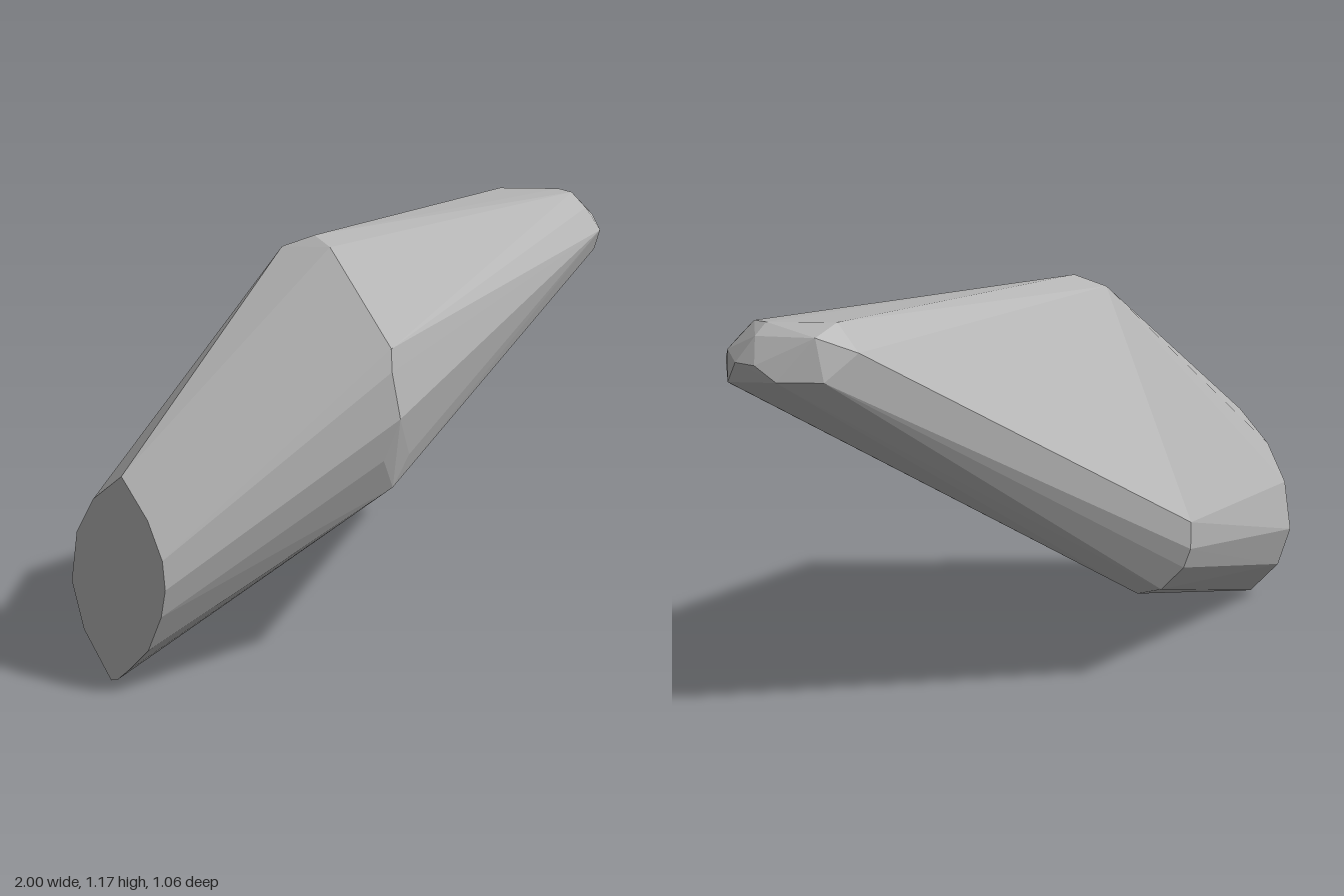
import * as THREE from 'three';
import { ConvexGeometry } from 'three/addons/geometries/ConvexGeometry.js';

// Flat cut end: [y, z] outline lying on one slanted plane
const cutEnd = [
  [0, 0.17], [0.01, 0.2], [0.05, 0.25], [0.13, 0.34], [0.24, 0.4], [0.32, 0.42], [0.4, 0.41],
  [0.5, 0.35], [0.6, 0.24], [0.51, 0.11], [0.4, 0.03], [0.25, 0], [0.12, 0.05],
].map(([y, z]) => [-1 + 0.2 * z, y, z]);

// Wide middle: four bevelled corners, [x, y, z]
const frontCorner = [
  [-0.25, 0.92, 0.49], [-0.26, 0.86, 0.51], [-0.245, 0.73, 0.53], [-0.28, 0.61, 0.5],
  [-0.16, 0.6, 0.44], [-0.22, 0.515, 0.45],
];
const topCorner = [[-0.18, 1.13, 0.04], [-0.18, 1.153, -0.05], [-0.26, 1.12, -0.1]];
const backCorner = [
  [-0.31, 0.5, -0.52], [-0.31, 0.42, -0.52], [-0.3, 0.36, -0.5], [-0.25, 0.29, -0.46], [-0.2, 0.27, -0.41],
];
const bottomCorner = [[-0.19, 0.28, -0.3], [-0.18, 0.47, 0.24]];

// Narrow blunt tip
const tip = [
  [0.94, 1.12, -0.25], [0.97, 1.05, -0.21], [0.97, 0.985, -0.24], [1, 1.005, -0.3],
  [0.99, 1.09, -0.28], [1, 1.07, -0.36], [0.97, 1.07, -0.42], [0.93, 1.03, -0.47],
  [0.92, 1.165, -0.3], [0.91, 1.17, -0.36], [0.95, 1.14, -0.38], [0.75, 1.172, -0.46],
  [0.83, 1.145, -0.5], [0.72, 1.1, -0.53], [0.82, 1.03, -0.53],
];

export function createModel() {
  const group = new THREE.Group();
  group.name = 'crystalShard';
  const stone = new THREE.MeshStandardMaterial({ color: 0xb4b4b4 });
  stone.name = 'grey stone';

  // One faceted solid stretched over the cut end, middle and tip
  const points = [cutEnd, frontCorner, topCorner, backCorner, bottomCorner, tip]
    .flat()
    .map((p) => new THREE.Vector3(...p));
  const shard = new THREE.Mesh(new ConvexGeometry(points), stone);
  shard.name = 'shard';
  group.add(shard);
  return group;
}
